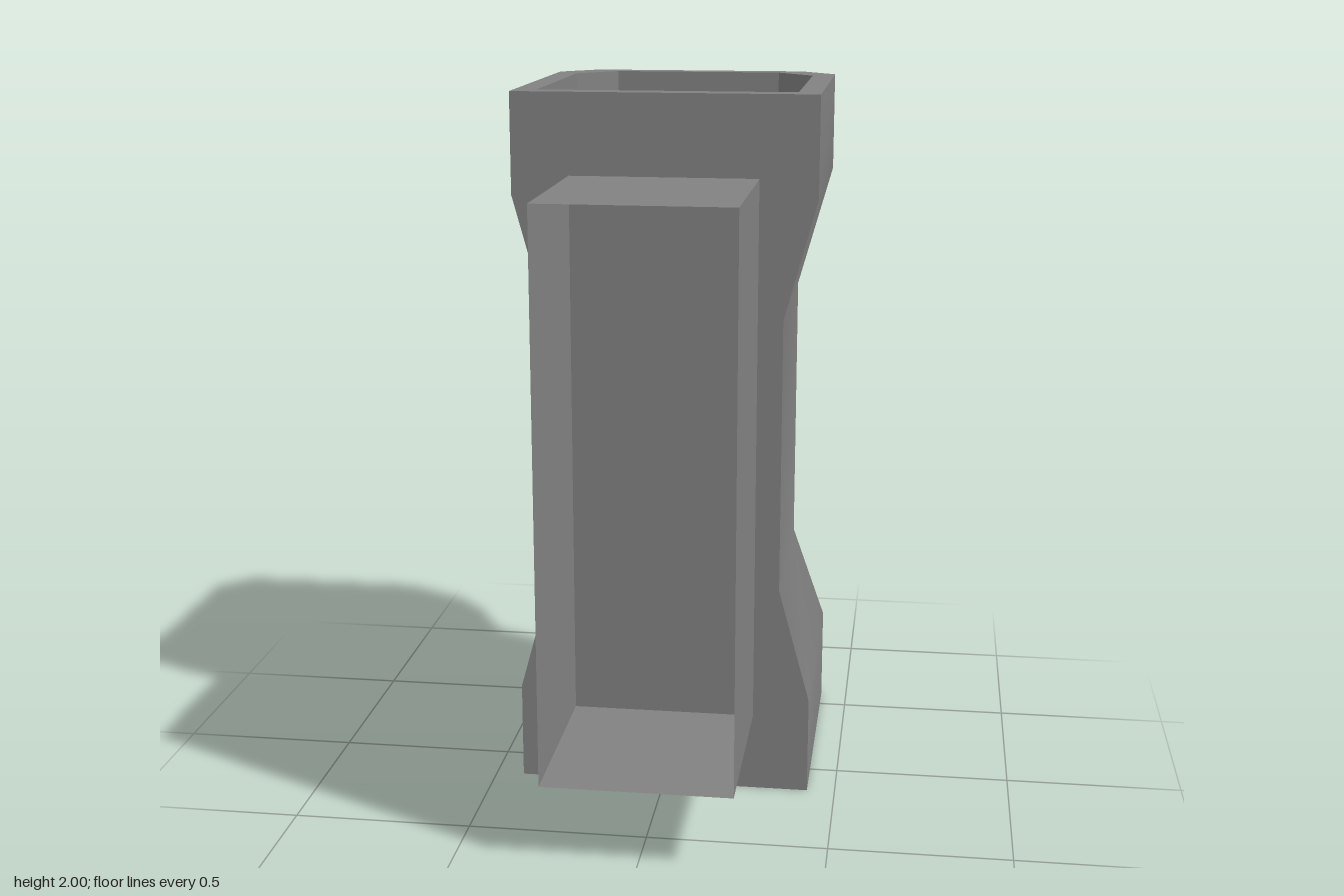
import * as THREE from 'three';

const material = new THREE.MeshStandardMaterial({ color: 0x828282, side: THREE.DoubleSide });

// Skin a list of closed rings of [x, y, z] points; each side of the ring is its own
// column of vertices, smooth along its length and sharp against its neighbours
function loft(name, rings) {
  const n = rings[0].length;
  const position = [], index = [];
  for (let i = 0; i < n; i++) {
    rings.forEach((ring, r) => {
      const a = position.length / 3;
      position.push(...ring[i], ...ring[(i + 1) % n]);
      if (r < rings.length - 1) index.push(a, a + 1, a + 3, a, a + 3, a + 2);
    });
  }
  const geometry = new THREE.BufferGeometry();
  geometry.setAttribute('position', new THREE.Float32BufferAttribute(position, 3));
  geometry.setIndex(index);
  geometry.computeVertexNormals();
  const mesh = new THREE.Mesh(geometry, material);
  mesh.name = name;
  return mesh;
}

// Sleeve cross-section: square front corners, chamfered back corners
function section(y, halfWidth, front, back, chamfer) {
  const w = halfWidth, c = chamfer;
  return [
    [w, y, front], [w, y, back + c], [w - c, y, back],
    [-w + c, y, back], [-w, y, back + c], [-w, y, front],
  ];
}

export function createModel() {
  const group = new THREE.Group();
  group.name = 'waistedSleeve';

  const outer = (y) => section(y, 0.42, 0.145, -0.69, 0.105);
  const waist = (y) => section(y, 0.33, 0.145, -0.54, 0.105);
  const inner = (y) => section(y, 0.357, 0.08, -0.63, 0.11);

  // Thin waisted skin
  group.add(loft('sleeve', [outer(0), outer(0.28), waist(0.61), waist(1.39), outer(1.72), outer(2)]));

  // Flat rim and short inner lip at each end
  group.add(loft('bottomLip', [inner(0.17), inner(0)]));
  group.add(loft('bottomRim', [inner(0), outer(0)]));
  group.add(loft('topRim', [outer(2), inner(2)]));
  group.add(loft('topLip', [inner(2), inner(1.83)]));

  // Open rectangular duct passing through the front wall
  const duct = (z) => [[0.26, 0.225, z], [0.26, 1.775, z], [-0.26, 1.775, z], [-0.26, 0.225, z]];
  group.add(loft('frontDuct', [duct(0.035), duct(0.69)]));

  return group;
}
